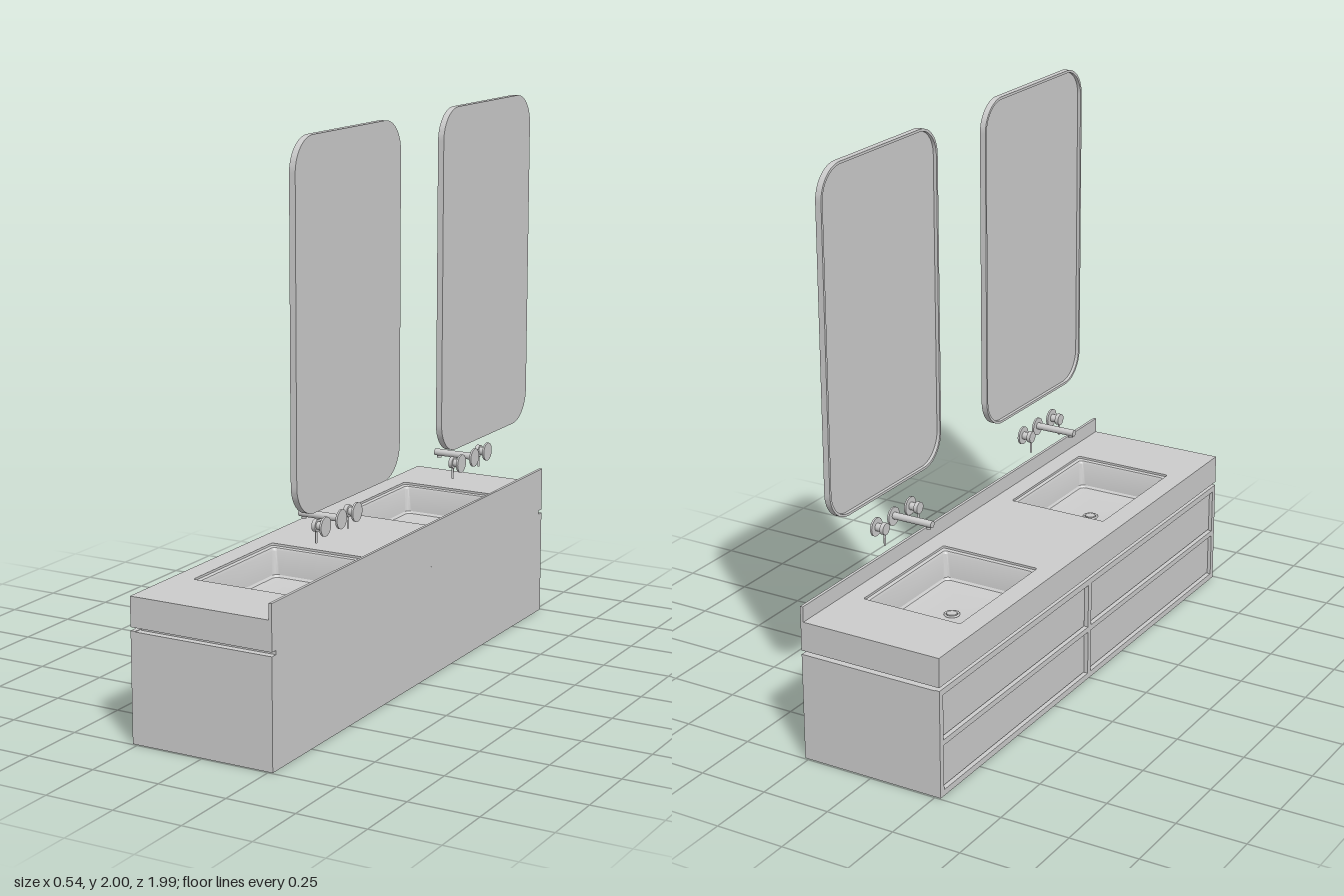
import * as THREE from 'three';
import { toCreasedNormals } from 'three/addons/utils/BufferGeometryUtils.js';

const grey = new THREE.MeshStandardMaterial({ color: 0xcccccc });
const BACK = 0.265, FRONT = -0.27, HALF = 0.995; // the vanity faces -x
const BASIN_X = -0.005, BASIN_Z = [-0.493, 0.483];

function add(parent, name, geometry, x = 0, y = 0, z = 0) {
  const mesh = new THREE.Mesh(geometry, grey);
  mesh.name = name;
  mesh.position.set(x, y, z);
  parent.add(mesh);
  return mesh;
}

// Box given by its minimum and maximum corners
function box(parent, name, x0, x1, y0, y1, z0, z1) {
  return add(parent, name, new THREE.BoxGeometry(x1 - x0, y1 - y0, z1 - z0),
    (x0 + x1) / 2, (y0 + y1) / 2, (z0 + z1) / 2);
}

// Rounded rectangle, counter-clockwise, from half sizes
function roundedRect(Type, cx, cy, w, h, r) {
  const s = new Type();
  s.absarc(cx + w - r, cy + h - r, r, 0, Math.PI / 2);
  s.absarc(cx - w + r, cy + h - r, r, Math.PI / 2, Math.PI);
  s.absarc(cx - w + r, cy - h + r, r, Math.PI, Math.PI * 1.5);
  s.absarc(cx + w - r, cy - h + r, r, Math.PI * 1.5, Math.PI * 2);
  s.closePath();
  return s;
}

function extrude(shape, depth) {
  return toCreasedNormals(new THREE.ExtrudeGeometry(shape,
    { depth, bevelEnabled: false, curveSegments: 10 }), 0.6);
}

// Horizontal slab with an opening for each basin
function slab(x0, x1, halfZ, depth) {
  const s = new THREE.Shape();
  s.moveTo(x0, -halfZ).lineTo(x1, -halfZ).lineTo(x1, halfZ).lineTo(x0, halfZ).closePath();
  for (const z of BASIN_Z) s.holes.push(roundedRect(THREE.Path, BASIN_X, -z, 0.19, 0.252, 0.008));
  return extrude(s, depth).rotateX(-Math.PI / 2);
}

// Bowl skinned through shrinking rounded rectangles, facing up and inward
function basinGeometry() {
  const rings = [ // half x, half z, corner radius, y
    [0.19, 0.252, 0.008, 0.497], [0.178, 0.24, 0.012, 0.494],
    [0.174, 0.236, 0.014, 0.486], [0.166, 0.228, 0.02, 0.402],
    [0.16, 0.222, 0.02, 0.394], [0.15, 0.212, 0.02, 0.392],
    [0.026, 0.026, 0.0259, 0.388], [0.001, 0.001, 0.0009, 0.388],
  ];
  const steps = 6, n = 4 * (steps + 1), pos = [], index = [];
  rings.forEach(([w, h, r, y], k) => {
    for (let i = 0; i < n; i++) {
      const q = Math.floor(i / (steps + 1));
      const a = (q + (i % (steps + 1)) / steps) * Math.PI / 2;
      const sx = q === 0 || q === 3 ? 1 : -1, sz = q < 2 ? 1 : -1;
      pos.push(sx * (w - r) + r * Math.cos(a), y, -(sz * (h - r) + r * Math.sin(a)));
      if (k < rings.length - 1) {
        const j = (i + 1) % n, o = k * n, p = o + n;
        index.push(o + i, o + j, p + j, o + i, p + j, p + i);
      }
    }
  });
  const g = new THREE.BufferGeometry();
  g.setAttribute('position', new THREE.Float32BufferAttribute(pos, 3));
  g.setIndex(index);
  return toCreasedNormals(g, 0.5);
}

// Rod along x between two x positions
function rod(parent, name, r, x0, x1, y, z, r1 = r) {
  const g = new THREE.CylinderGeometry(r1, r, x1 - x0, 32).rotateZ(-Math.PI / 2);
  return add(parent, name, g, (x0 + x1) / 2, y, z);
}

function cabinet() {
  const g = new THREE.Group();
  g.name = 'cabinet';
  const face = FRONT + 0.018, top = 0.388, rail = 0.022;
  box(g, 'cabinetBody', face, BACK, 0, 0.386, -HALF, HALF);
  // Front frame around four recessed drawer panels
  for (const [y0, y1] of [[0, rail], [0.184, 0.204], [top - rail, top]])
    box(g, 'frontRail', FRONT, face, y0, y1, -HALF, HALF);
  for (const z of [-HALF + 0.011, 0, HALF - 0.011])
    box(g, 'frontStile', FRONT, face, 0, top, z - 0.011, z + 0.011);
  for (const side of [-1, 1]) for (const [y0, y1] of [[0.026, 0.18], [0.208, 0.362]])
    box(g, 'drawerPanel', face - 0.005, face + 0.005, y0, y1,
      side * 0.4975 - 0.4815, side * 0.4975 + 0.4815);
  // Shadow gap below the counter
  add(g, 'shadowGap', slab(FRONT + 0.025, BACK, HALF - 0.025, 0.02), 0, 0.384, 0);
  return g;
}

function tapSet(z) {
  const g = new THREE.Group();
  g.name = 'wallTap';
  const y = 0.705;
  rod(g, 'spoutFlange', 0.033, 0.219, 0.226, y, z);
  rod(g, 'spout', 0.0125, 0.065, 0.222, y + 0.003, z);
  add(g, 'spoutOutlet', new THREE.CylinderGeometry(0.008, 0.008, 0.008, 20), 0.08, y - 0.012, z);
  for (const s of [-1, 1]) {
    const hz = z + s * 0.105;
    rod(g, 'handleFlange', 0.033, 0.219, 0.226, y, hz);
    rod(g, 'handleStem', 0.014, 0.19, 0.222, y, hz);
    rod(g, 'handleCap', 0.021, 0.182, 0.196, y, hz);
    add(g, 'handleLever', new THREE.CylinderGeometry(0.004, 0.004, 0.055, 12), 0.189, y - 0.0325, hz);
  }
  return g;
}

function mirror(z) {
  const g = new THREE.Group();
  g.name = 'mirror';
  const frame = roundedRect(THREE.Shape, 0, 0, 0.342, 0.605, 0.11);
  frame.holes.push(roundedRect(THREE.Path, 0, 0, 0.333, 0.596, 0.101));
  add(g, 'mirrorFrame', extrude(frame, 0.022).rotateY(-Math.PI / 2));
  const pane = roundedRect(THREE.Shape, 0, 0, 0.334, 0.597, 0.102);
  add(g, 'mirrorPane', extrude(pane, 0.01).rotateY(-Math.PI / 2));
  g.position.set(BACK, 1.395, z);
  return g;
}

export function createModel() {
  const model = new THREE.Group();
  model.name = 'doubleVanity';
  model.add(cabinet());
  add(model, 'countertop', slab(FRONT, BACK, HALF, 0.105), 0, 0.4, 0);
  box(model, 'backsplash', 0.254, BACK, 0.504, 0.56, -HALF, HALF);
  // Rear panel closes the gap at the wall side
  box(model, 'rearPanel', 0.25, BACK, 0.38, 0.402, -HALF + 0.025, HALF - 0.025);

  const bowl = basinGeometry();
  for (const z of BASIN_Z) {
    add(model, 'basin', bowl, BASIN_X, 0, z);
    const ring = new THREE.TorusGeometry(0.024, 0.004, 10, 32).rotateX(Math.PI / 2);
    add(model, 'drainRing', ring, BASIN_X, 0.39, z);
    add(model, 'drainPlug', new THREE.CylinderGeometry(0.018, 0.019, 0.006, 32), BASIN_X, 0.391, z);
  }
  for (const z of [-0.498, 0.48]) model.add(tapSet(z));
  for (const z of [-0.497, 0.495]) model.add(mirror(z));
  return model;
}
